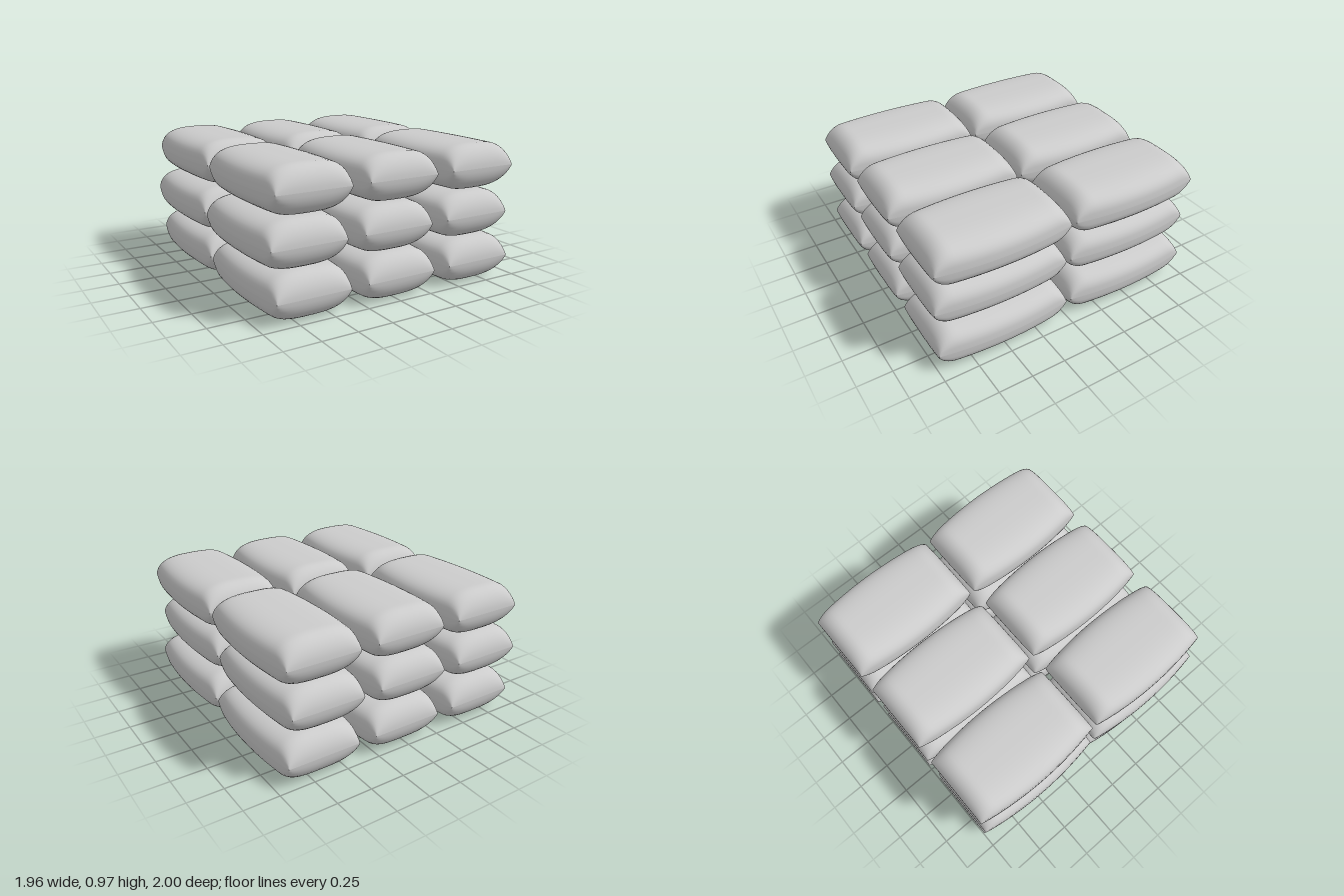
import * as THREE from 'three';
import { mergeGeometries } from 'three/addons/utils/BufferGeometryUtils.js';

const HALF_LENGTH = 0.49, HALF_HEIGHT = 0.158, END_ROUND = 0.13;

// Half a filled sack: a plane swelled up, falling to the side and end seams
function halfSack() {
  const geometry = new THREE.PlaneGeometry(2, 2, 28, 36).rotateX(-Math.PI / 2);
  const pos = geometry.attributes.position;
  for (let i = 0; i < pos.count; i++) {
    // crowd the rows toward the seams
    const u = Math.sin(pos.getX(i) * Math.PI / 2);
    const v = Math.sin(pos.getZ(i) * Math.PI / 2);
    const z = v * HALF_LENGTH;
    // sides bulge in plan, ends stay straight
    const halfWidth = 0.263 + 0.046 * (1 - v * v);
    // full, softly crowned section across; flat top with elliptical ends along
    const across = Math.cbrt(Math.max(0, 1 - Math.abs(u) ** 3));
    const t = Math.max(0, (Math.abs(z) - HALF_LENGTH + END_ROUND) / END_ROUND);
    const along = Math.sqrt(Math.max(0, 1 - t * t));
    pos.setXYZ(i, u * halfWidth, HALF_HEIGHT * across * along, z);
  }
  geometry.computeVertexNormals();
  return geometry;
}

export function createModel() {
  const group = new THREE.Group();
  group.name = 'sackStack';
  const material = new THREE.MeshStandardMaterial({ color: 0xcccccc });
  const top = halfSack();
  const sack = mergeGeometries([top, top.clone().rotateZ(Math.PI)]);

  // Three layers of three by two sacks, the middle layer shifted sideways
  for (let layer = 0; layer < 3; layer++) {
    const shift = layer === 1 ? -0.018 : 0.014;
    for (let column = -1; column <= 1; column++) {
      for (const side of [-1, 1]) {
        const mesh = new THREE.Mesh(sack, material);
        mesh.name = 'sack';
        mesh.position.set(column * 0.656 + shift, 0.167 + layer * 0.329, side * 0.508);
        group.add(mesh);
      }
    }
  }
  return group;
}
